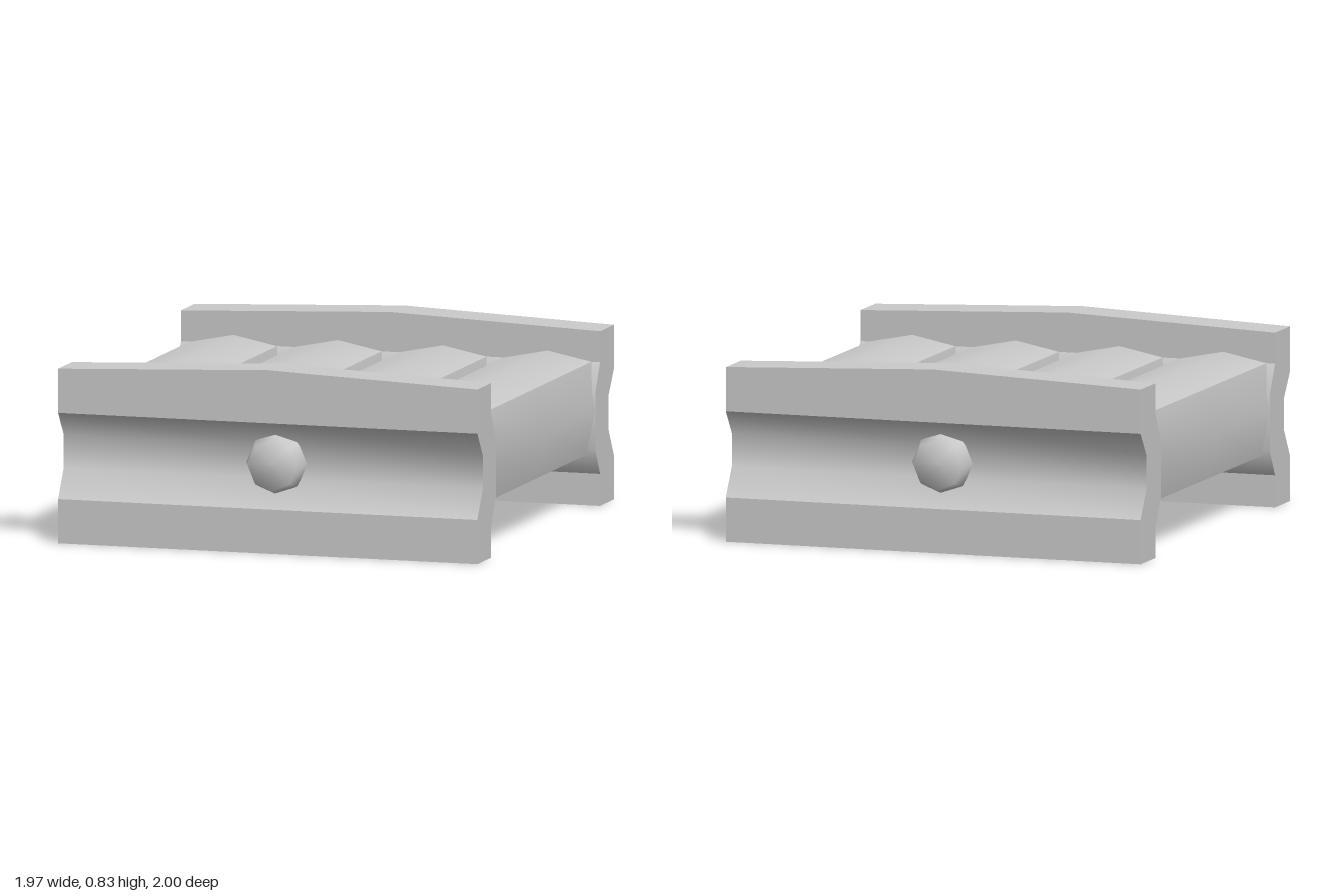
import * as THREE from 'three';
import { mergeGeometries } from 'three/addons/utils/BufferGeometryUtils.js';

const grey = new THREE.MeshStandardMaterial({ color: 0xcccccc });

// Prism along z. Each run of [x, y] points is smooth; edges between runs stay sharp.
// Runs join into one closed counter-clockwise outline; crown raises the top at mid-length.
function prism(runs, half, crown = 0) {
  const parts = runs.map((run) => {
    const pos = [], index = [];
    for (const z of [-half, 0, half]) {
      for (const [x, y] of run) pos.push(x, z === 0 && y > 0.75 ? y + crown : y, z);
    }
    const n = run.length;
    for (let j = 0; j < 2; j++) {
      for (let i = 0; i < n - 1; i++) {
        const a = j * n + i, b = a + n;
        index.push(a, a + 1, b + 1, a, b + 1, b);
      }
    }
    const g = new THREE.BufferGeometry();
    g.setAttribute('position', new THREE.Float32BufferAttribute(pos, 3));
    g.setIndex(index);
    g.computeVertexNormals();
    return g;
  });
  const outline = runs.flatMap((run) => run.slice(0, -1)).map(([x, y]) => new THREE.Vector2(x, y));
  const mirrored = outline.map((p) => new THREE.Vector2(-p.x, p.y));
  parts.push(new THREE.ShapeGeometry(new THREE.Shape(outline)).translate(0, 0, half));
  parts.push(new THREE.ShapeGeometry(new THREE.Shape(mirrored)).rotateY(Math.PI).translate(0, 0, -half));
  parts.forEach((g) => g.deleteAttribute('uv'));
  return mergeGeometries(parts);
}

function part(name, geometry) {
  const m = new THREE.Mesh(geometry, grey);
  m.name = name;
  return m;
}

export function createModel() {
  const model = new THREE.Group();
  model.name = 'rollerFrame';

  // Grooved end beam: grooved outside, bulging inside, slightly peaked top
  const beamGeometry = prism([
    [[0.79, 0], [0.99, 0]],
    [[0.99, 0], [0.99, 0.2]],
    [[0.99, 0.2], [0.91, 0.33], [0.91, 0.48], [0.99, 0.59]],
    [[0.99, 0.59], [0.99, 0.79]],
    [[0.99, 0.79], [0.79, 0.79]],
    [[0.79, 0.79], [0.79, 0.65]],
    [[0.79, 0.65], [0.72, 0.52], [0.72, 0.265], [0.79, 0.145]],
    [[0.79, 0.145], [0.79, 0]],
  ], 0.985, 0.04).rotateY(-Math.PI / 2);

  // Eight-sided stud in the groove
  const studGeometry = new THREE.LatheGeometry(
    [[0.14, 0.88], [0.14, 0.93], [0.115, 0.995], [0, 1]].map(([r, h]) => new THREE.Vector2(r, h)), 8,
  ).rotateX(Math.PI / 2).translate(0.02, 0.4, 0);

  for (const [name, turn] of [['frontEnd', 0], ['backEnd', Math.PI]]) {
    const end = new THREE.Group();
    end.name = name;
    end.rotation.y = turn;
    end.add(part('beam', beamGeometry), part('stud', studGeometry));
    model.add(end);
  }

  // Four bars with bulging sides and sharp corners, running between the beams
  const r = 0.246, c = 0.205;
  const barGeometry = prism([
    [[c, -c], [r, 0], [c, c]],
    [[c, c], [0, r], [-c, c]],
    [[-c, c], [-r, 0], [-c, -c]],
    [[-c, -c], [0, -r], [c, -c]],
  ], 0.8);
  for (let i = 0; i < 4; i++) {
    const bar = part('bar' + (i + 1), barGeometry);
    bar.position.set((i - 1.5) * 0.4925, 0.445, 0);
    model.add(bar);
  }
  return model;
}
